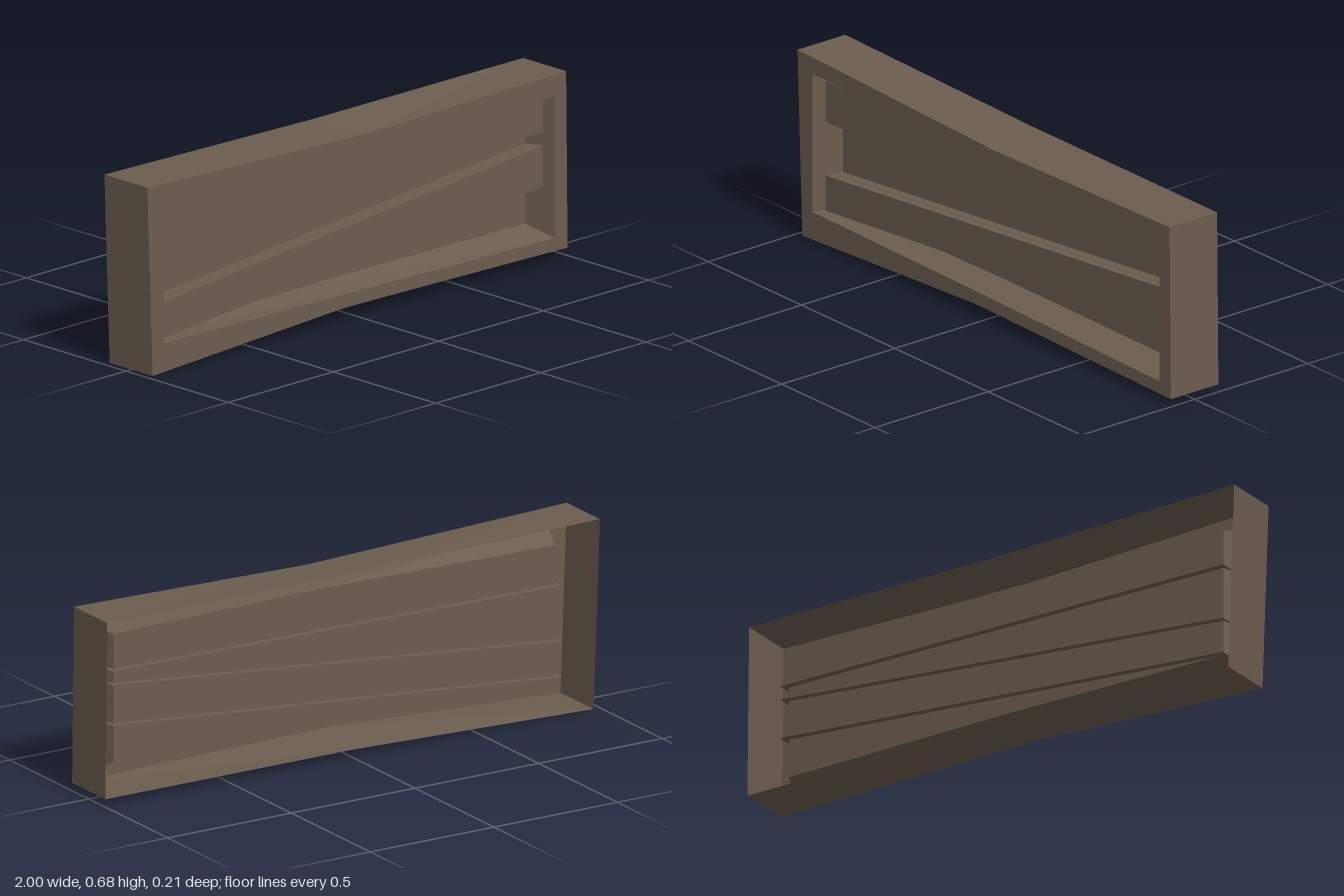
import * as THREE from 'three';

const wood = new THREE.MeshStandardMaterial({ color: 0x6b5d4f, side: THREE.DoubleSide, flatShading: true });
wood.name = 'weathered wood';

function add(parent, name, geometry) {
  const mesh = new THREE.Mesh(geometry, wood);
  mesh.name = name;
  parent.add(mesh);
}

// Flat outline at depth z, with an optional opening
function sheet(points, z, hole) {
  const toVectors = (list) => list.map(([x, y]) => new THREE.Vector2(x, y));
  const shape = new THREE.Shape(toVectors(points));
  if (hole) shape.holes.push(new THREE.Path(toVectors(hole)));
  return new THREE.ShapeGeometry(shape).translate(0, 0, z);
}

// Walls joining two matching outlines at different depths
function walls(a, za, b, zb, closed = true) {
  const positions = [];
  const count = closed ? a.length : a.length - 1;
  for (let i = 0; i < count; i++) {
    const j = (i + 1) % a.length;
    const p = [...a[i], za], q = [...a[j], za], r = [...b[j], zb], s = [...b[i], zb];
    positions.push(...p, ...q, ...r, ...p, ...r, ...s);
  }
  const geometry = new THREE.BufferGeometry();
  geometry.setAttribute('position', new THREE.Float32BufferAttribute(positions, 3));
  geometry.computeVertexNormals();
  return geometry;
}

export function createModel() {
  const group = new THREE.Group();
  group.name = 'crookedBoardPanel';
  const front = 0.105, back = -0.105, plankZ = 0.065, panelZ = 0, ledgeZ = -0.025;

  // Clockwise outlines from the top left corner
  const outerFront = [[-1, 0.678], [0.05, 0.643], [0.993, 0.66], [1, 0.028], [-0.05, 0.045], [-0.975, 0]];
  const outerBack = [[-1, 0.678], [0, 0.66], [0.993, 0.66], [1, 0.028], [0, 0.028], [-0.975, 0]];
  const opening = [[-0.92, 0.615], [0.05, 0.6], [0.94, 0.582], [0.94, 0.075], [0, 0.092], [-0.92, 0.105]];
  const panel = [[-0.885, 0.575], [0.05, 0.588], [0.9, 0.575], [0.9, 0.112], [0, 0.118], [-0.885, 0.108]];

  // Hollow frame, open at the back
  add(group, 'frameFace', sheet(outerFront, front, opening));
  add(group, 'frameOuterWalls', walls(outerFront, front, outerBack, back));
  add(group, 'frameInnerWalls', walls(opening, front, panel, panelZ));
  add(group, 'backPanel', sheet(panel, panelZ));

  // Raised planks, with edges that run through the panel
  const upper = [[-0.9, 0.584], [0.05, 0.588], [0.92, 0.58], [0.92, 0.45], [-0.9, 0.435]];
  const diagonal = [[-0.9, 0.235], [0.92, 0.4], [0.92, 0.255], [-0.9, 0.106]];
  add(group, 'upperPlank', sheet(upper, plankZ));
  add(group, 'diagonalPlank', sheet(diagonal, plankZ));
  const edges = {
    upperPlankEdge: [upper[3], upper[4]],
    diagonalPlankTopEdge: [diagonal[0], diagonal[1]],
    diagonalPlankBottomEdge: [diagonal[2], diagonal[3]],
  };
  for (const [name, line] of Object.entries(edges)) {
    add(group, name, walls(line, plankZ, line, ledgeZ, false));
  }
  return group;
}
